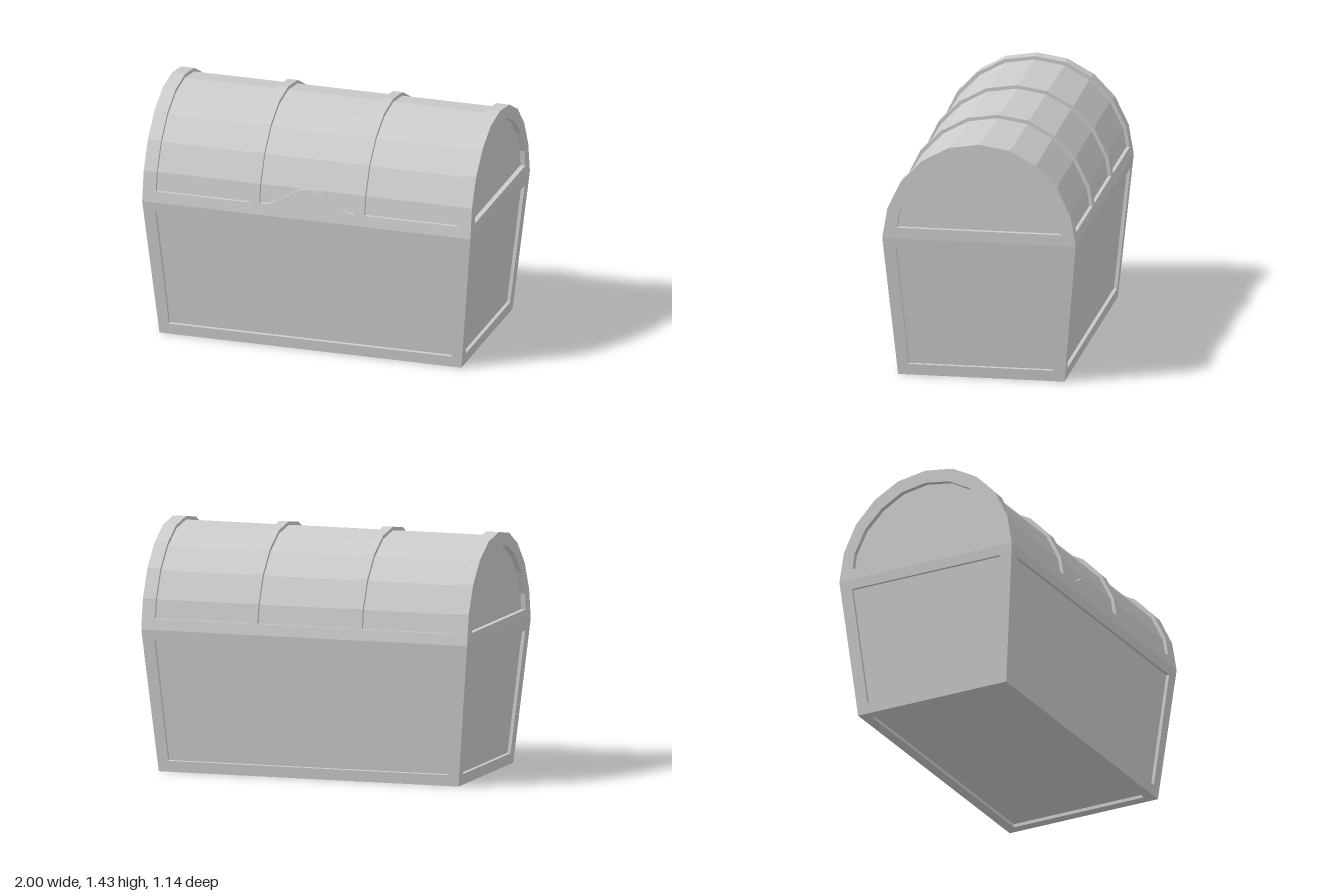
import * as THREE from 'three';

const V = (x, y, z) => new THREE.Vector3(x, y, z);

// Collects flat-shaded polygons, corners counter-clockwise from outside.
class Shell {
  constructor() { this.pos = []; }
  poly(...p) {
    for (let i = 1; i < p.length - 1; i++) {
      for (const v of [p[0], p[i], p[i + 1]]) this.pos.push(v.x, v.y, v.z);
    }
  }
  // Frame between two loops, with a sunken panel inside the inner one.
  panel(outer, inner, depth) {
    const n = V().subVectors(inner[1], inner[0])
      .cross(V().subVectors(inner[2], inner[0])).normalize();
    const floor = inner.map(p => p.clone().addScaledVector(n, -depth));
    outer.forEach((o, i) => {
      const j = (i + 1) % outer.length;
      this.poly(o, outer[j], inner[j], inner[i]);
      this.poly(inner[i], inner[j], floor[j], floor[i]);
    });
    this.poly(...floor);
  }
  mesh(name) {
    const g = new THREE.BufferGeometry();
    g.setAttribute('position', new THREE.Float32BufferAttribute(this.pos, 3));
    g.computeVertexNormals();
    const m = new THREE.Mesh(g, new THREE.MeshStandardMaterial({ color: 0xcccccc, flatShading: true }));
    m.name = name;
    return m;
  }
}

const SEAM = 0.84, RAIL = 0.905, SINK = 0.02;
const xAt = y => 0.92 + 0.08 * y / SEAM;
const zAt = y => 0.49 + 0.08 * y / SEAM;

// Tapered box with a framed, sunken panel on each side and below
function makeBody() {
  const s = new Shell();
  const loop = (half, out, y0, y1, in0, in1, place) => [[-1, y0, in0], [1, y0, in0], [1, y1, in1], [-1, y1, in1]]
    .map(([k, y, inset]) => place(k * (half(y) - inset), y, out(y)));
  const side = (half, out, in0, in1, place) => s.panel(
    loop(half, out, 0, SEAM, 0, 0, place),
    loop(half, out, 0.065, 0.78, in0, in1, place), SINK);
  side(xAt, zAt, 0.066, 0.074, (u, y, w) => V(u, y, w));
  side(xAt, zAt, 0.066, 0.074, (u, y, w) => V(-u, y, -w));
  side(zAt, xAt, 0.071, 0.074, (u, y, w) => V(w, y, -u));
  side(zAt, xAt, 0.071, 0.074, (u, y, w) => V(-w, y, u));
  const base = (x, z) => [V(-x, 0, z), V(-x, 0, -z), V(x, 0, -z), V(x, 0, z)];
  s.panel(base(0.92, 0.49), base(0.86, 0.43), SINK);
  return s.mesh('body');
}

// Half profiles [z, y] from the seam to the crown, mirrored to the back
const mirror = half => [...half, ...half.slice(0, -1).reverse().map(([z, y]) => [-z, y])];
const arch = [[0.54, 1.02], [0.46, 1.185], [0.335, 1.315], [0.18, 1.4], [0, 1.428]];
const facetZ = y => 0.57 - 0.03 * (y - SEAM) / 0.18;
const outerArch = mirror([[facetZ(RAIL), RAIL], ...arch]);
const innerArch = mirror([[facetZ(RAIL) - SINK, RAIL],
  ...arch.map(([z, y]) => [z * 0.965, SEAM + (y - SEAM) * 0.965])]);
const endOuter = mirror([[0.57, SEAM], ...arch]);
const endInner = mirror([[0.483, RAIL], [0.47, 1.0], [0.4, 1.14], [0.29, 1.25], [0.155, 1.325], [0, 1.35]]);

// Barrel lid: raised bands and rails around sunken panels
function makeLid() {
  const s = new Shell();
  const at = (x, [z, y]) => V(x, y, z);
  const strip = (prof, x0, x1) => {
    for (let i = 0; i < prof.length - 1; i++) {
      s.poly(at(x0, prof[i]), at(x1, prof[i]), at(x1, prof[i + 1]), at(x0, prof[i + 1]));
    }
  };
  // rails
  strip([[0.57, SEAM], outerArch[0]], -1, 1);
  strip([outerArch.at(-1), [-0.57, SEAM]], -1, 1);
  // bands
  for (const [a, b] of [[-1, -0.92], [-0.35, -0.29], [0.29, 0.35], [0.92, 1]]) strip(outerArch, a, b);
  // sunken panels with their surrounding edges
  for (const [a, b] of [[-0.92, -0.35], [-0.29, 0.29], [0.35, 0.92]]) {
    strip(innerArch, a, b);
    strip([outerArch[0], innerArch[0]], a, b);
    strip([innerArch.at(-1), outerArch.at(-1)], a, b);
    for (let i = 0; i < outerArch.length - 1; i++) {
      const [o, p, q, r] = [outerArch[i], innerArch[i], innerArch[i + 1], outerArch[i + 1]];
      s.poly(at(a, o), at(a, p), at(a, q), at(a, r));
      s.poly(at(b, r), at(b, q), at(b, p), at(b, o));
    }
  }
  // arched ends
  const end = (x, prof) => prof.map(p => at(x, p));
  s.panel(end(1, endOuter).reverse(), end(1, endInner).reverse(), 0.03);
  s.panel(end(-1, endOuter), end(-1, endInner), 0.03);
  return s.mesh('lid');
}

// Bell-shaped raised plate above the front rail
function makeLockPlate() {
  const s = new Shell(), n = 24, w = 0.29;
  const row = i => {
    const x = -w + 2 * w * i / n;
    const y = RAIL + 0.115 * Math.pow(0.5 + 0.5 * Math.cos(Math.PI * x / w), 1.15);
    return [V(x, RAIL, facetZ(RAIL)), V(x, y, facetZ(y)), V(x, y, facetZ(y) - SINK)];
  };
  for (let i = 0; i < n; i++) {
    const a = row(i), b = row(i + 1);
    s.poly(a[0], b[0], b[1], a[1]);
    s.poly(a[1], b[1], b[2], a[2]);
  }
  return s.mesh('lockPlate');
}

export function createModel() {
  const group = new THREE.Group();
  group.name = 'chest';
  group.add(makeBody(), makeLid(), makeLockPlate());
  return group;
}
